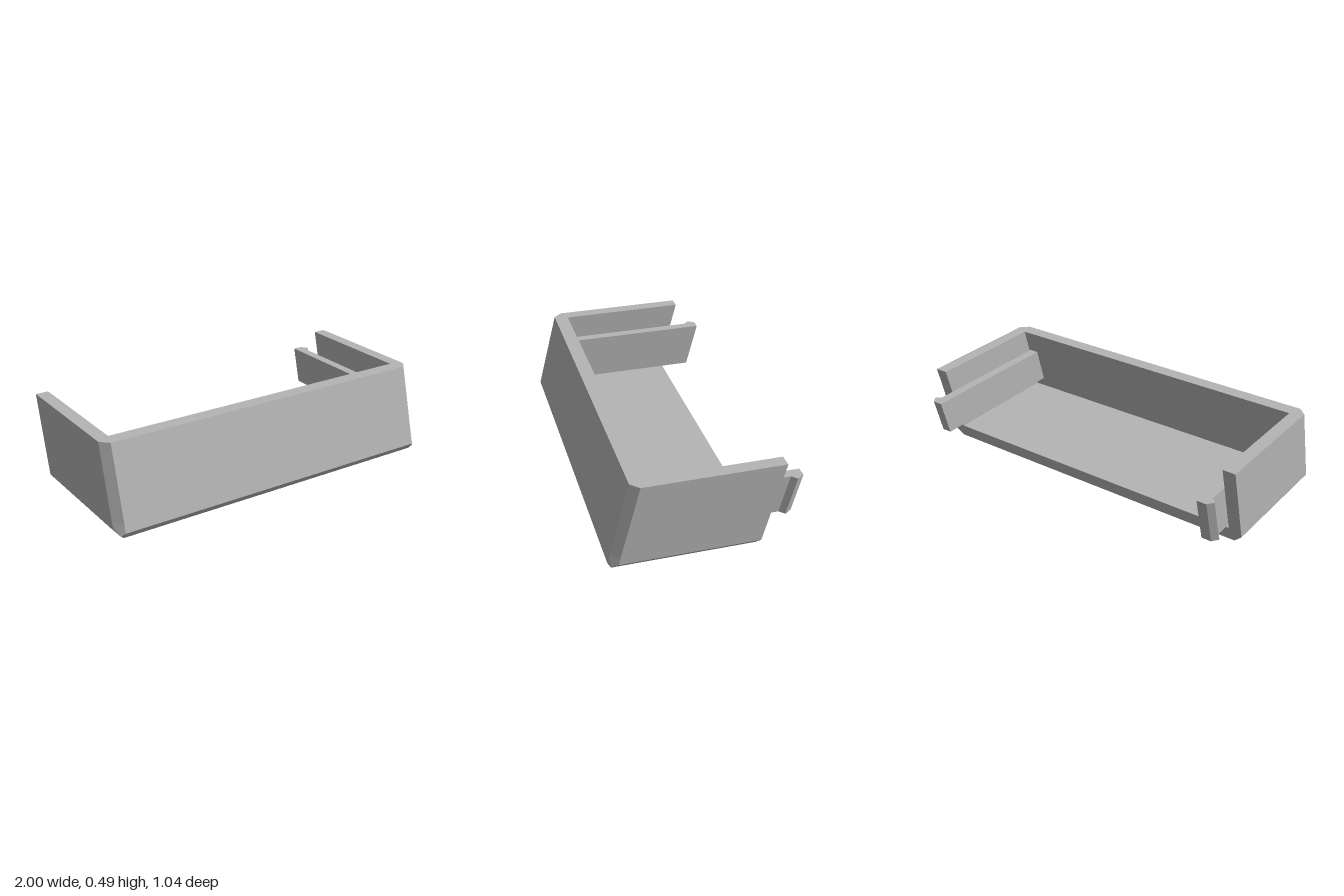
import * as THREE from 'three';
import { ConvexGeometry } from 'three/addons/geometries/ConvexGeometry.js';

const LEAN = 0.262;               // backward lean of every upright face
const FLOOR_TOP = 0.08, TOP = 0.485, ARM_TOP = 0.348;
const FRONT = 0.527, BACK = -0.265, INNER_FRONT = 0.447, BEVEL = 0.045;

// shear the part backwards with height
function lean(geometry) {
  const p = geometry.attributes.position;
  for (let i = 0; i < p.count; i++) p.setZ(i, p.getZ(i) - LEAN * p.getY(i));
  geometry.computeVertexNormals();
  return geometry;
}

// upright prism from an [x, z] outline
function prism(outline, y0, y1) {
  const shape = new THREE.Shape(outline.map(([x, z]) => new THREE.Vector2(x, -z)));
  const g = new THREE.ExtrudeGeometry(shape, { depth: y1 - y0, bevelEnabled: false });
  g.rotateX(-Math.PI / 2).translate(0, y0, 0);
  return lean(g);
}

export function createModel() {
  const group = new THREE.Group();
  const grey = new THREE.MeshStandardMaterial({ color: 0xb4b4b4, flatShading: true });
  grey.name = 'light grey plastic';
  const add = (name, geometry) => {
    const mesh = new THREE.Mesh(geometry, grey);
    mesh.name = name;
    group.add(mesh);
  };

  // floor slab with bevelled lower edges and corners
  const corners = [];
  for (const s of [-1, 1]) {
    for (const [x, y, z] of [
      [1, FLOOR_TOP, BACK], [1, FLOOR_TOP, FRONT - BEVEL], [1 - BEVEL, FLOOR_TOP, FRONT],
      [1, BEVEL, BACK], [1, BEVEL, FRONT - BEVEL], [1 - BEVEL, 0.035, FRONT],
      [0.977, 0.019, 0.51], [1 - BEVEL, 0, BACK], [1 - BEVEL, 0, 0.495],
    ]) corners.push(new THREE.Vector3(s * x, y, z - LEAN * y));
  }
  add('floor', new ConvexGeometry(corners));

  // front and side walls in one U-shaped prism
  add('walls', prism([
    [-1, BACK], [-1, FRONT - BEVEL], [-1 + BEVEL, FRONT], [1 - BEVEL, FRONT],
    [1, FRONT - BEVEL], [1, BACK], [0.928, BACK], [0.928, INNER_FRONT],
    [-0.928, INNER_FRONT], [-0.928, BACK],
  ], FLOOR_TOP, TOP));

  // snap arms with outward hooks; the one on -x reaches lower
  for (const [name, s, bottom] of [['leftClip', 1, 0.14], ['rightClip', -1, 0.087]]) {
    add(name, prism([
      [0.862, INNER_FRONT], [0.916, INNER_FRONT], [0.916, -0.359],
      [0.944, -0.386], [0.944, -0.39], [0.918, -0.426], [0.862, -0.426],
    ].map(([x, z]) => [s * x, z]), bottom, ARM_TOP));
  }
  return group;
}
